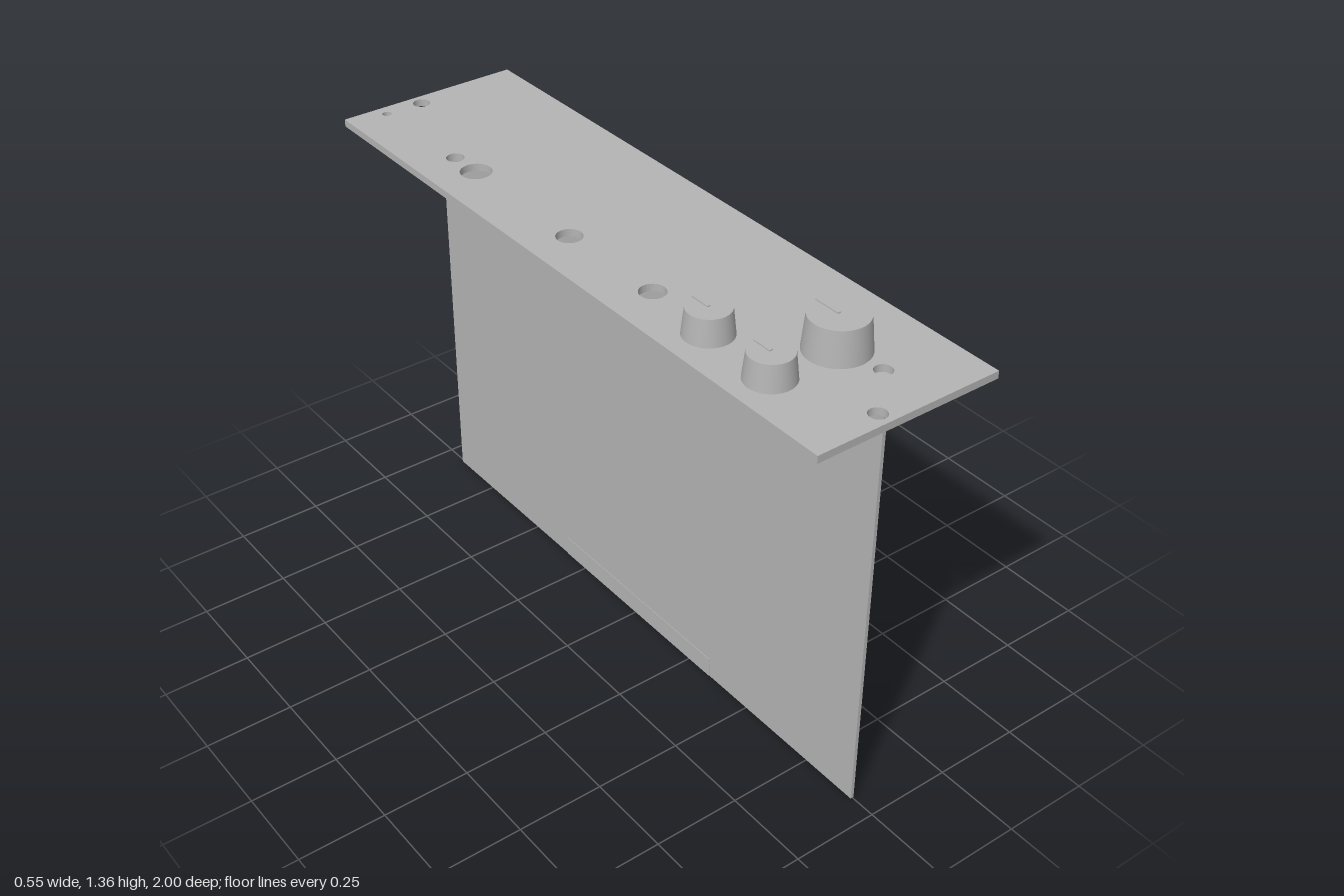
import * as THREE from 'three';

const PANEL_BOTTOM = 1.237, PANEL_TOP = 1.258;

export function createModel() {
  const root = new THREE.Group();
  root.name = 'controlModule';
  const grey = new THREE.MeshStandardMaterial({ color: 0xb4b4b4 });
  grey.name = 'plainGrey';

  const add = (name, geometry, parent = root) => {
    const mesh = new THREE.Mesh(geometry, grey);
    mesh.name = name;
    parent.add(mesh);
    return mesh;
  };
  // Box given by its limits on each axis
  const box = (name, x0, x1, y0, y1, z0, z1, parent) =>
    add(name, new THREE.BoxGeometry(x1 - x0, y1 - y0, z1 - z0), parent)
      .position.set((x0 + x1) / 2, (y0 + y1) / 2, (z0 + z1) / 2);

  // Face panel drawn in x and -z, with mounting and jack holes [x, z, radius]
  const outline = new THREE.Shape();
  outline.moveTo(-0.273, -1).lineTo(0.273, -1).lineTo(0.273, 1).lineTo(-0.273, 1).closePath();
  const holes = [
    [-0.16, -0.96, 0.013], [-0.046, -0.96, 0.024], [-0.15, -0.62, 0.025],
    [-0.148, -0.52, 0.044], [-0.15, -0.087, 0.036], [-0.145, 0.253, 0.036],
    [-0.062, 0.96, 0.024], [0.066, 0.84, 0.024],
  ];
  for (const [x, z, r] of holes) {
    outline.holes.push(new THREE.Path().absarc(x, -z, r, 0, Math.PI * 2, true));
  }
  const panelGeometry = new THREE.ExtrudeGeometry(outline, {
    depth: PANEL_TOP - PANEL_BOTTOM, bevelEnabled: false, curveSegments: 24,
  });
  panelGeometry.rotateX(-Math.PI / 2).translate(0, PANEL_BOTTOM, 0);
  add('facePanel', panelGeometry);

  // Upright board, its mounting flange and the edge contact strip
  box('circuitBoard', -0.006, 0.004, 0, PANEL_BOTTOM, -0.925, 0.925);
  box('mountingFlange', 0.004, 0.095, 1.224, PANEL_BOTTOM, -0.925, 0.925);
  box('edgeContacts', -0.0075, 0.0055, 0, 0.06, -0.34, 0.34);

  // Tapered knobs, each with a pointer ridge running to the back
  const addKnob = (name, x, z, bottomRadius, topRadius, height) => {
    const knob = new THREE.Group();
    knob.name = name;
    knob.position.set(x, PANEL_TOP, z);
    add('knobBody', new THREE.CylinderGeometry(topRadius, bottomRadius, height, 48), knob)
      .position.y = height / 2;
    box('pointer', -0.005, 0.005, height - 0.002, height + 0.003, -topRadius, 0, knob);
    root.add(knob);
  };
  addKnob('largeKnob', 0.041, 0.71, 0.086, 0.077, 0.096);
  addKnob('smallKnobFront', -0.161, 0.71, 0.066, 0.058, 0.073);
  addKnob('smallKnobBack', -0.155, 0.48, 0.066, 0.058, 0.073);

  return root;
}
